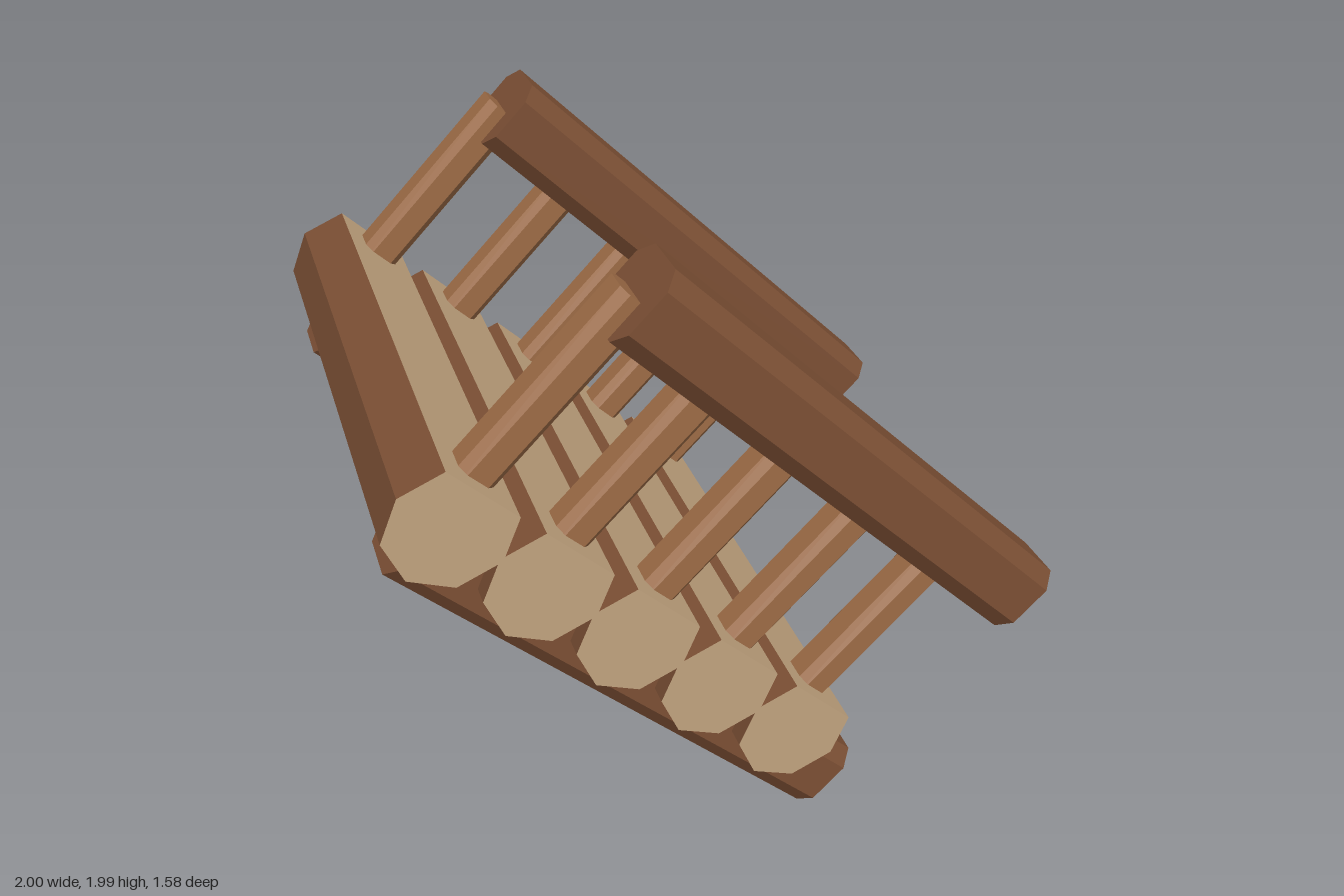
import * as THREE from 'three';

const mat = (color) => new THREE.MeshStandardMaterial({ color, flatShading: true });

// Timber with chamfered long edges, running along z, centred on the origin
function timberGeometry(w, h, length, cx, cy) {
  const a = w / 2, b = h / 2;
  const shape = new THREE.Shape([
    [a, -b + cy], [a, b - cy], [a - cx, b], [-a + cx, b],
    [-a, b - cy], [-a, -b + cy], [-a + cx, -b], [a - cx, -b],
  ].map(([x, y]) => new THREE.Vector2(x, y)));
  return new THREE.ExtrudeGeometry(shape, { depth: length, bevelEnabled: false })
    .translate(0, 0, -length / 2);
}

// Octagonal log with its upper corner sawn off to make a flat tread
function logGeometry(radius, length) {
  const points = [];
  for (let i = 0; i < 8; i++) {
    if (i === 2) continue;
    const t = i * Math.PI / 4;
    points.push(new THREE.Vector2(radius * Math.cos(t), radius * Math.sin(t)));
  }
  const geo = new THREE.ExtrudeGeometry(new THREE.Shape(points), { depth: length, bevelEnabled: false })
    .translate(0, 0, -length / 2);
  // Cut faces (tread and ends) take material 0, bark faces material 1
  const n = geo.attributes.normal;
  geo.clearGroups();
  for (let i = 0; i < n.count; i += 3) {
    const cut = n.getY(i) > 0.95 || Math.abs(n.getZ(i)) > 0.95;
    geo.addGroup(i, 3, cut ? 0 : 1);
  }
  return geo;
}

export function createModel() {
  const model = new THREE.Group();
  model.name = 'logStairs';

  const bark = mat(0x7b4f34);
  const pole = mat(0x9c6b45);
  const cutWood = mat(0xc0a27e);

  // Built level along x, then tipped down to the right by 45 degrees
  const flight = new THREE.Group();
  flight.name = 'flight';
  flight.rotation.z = -Math.PI / 4;
  model.add(flight);

  const add = (name, geo, material, x, y, z) => {
    const mesh = new THREE.Mesh(geo, material);
    mesh.name = name;
    mesh.position.set(x, y, z);
    flight.add(mesh);
  };

  const steps = 5, pitch = 0.344, start = -1.562;
  const length = steps * pitch, middle = start + length / 2;
  const logY = 0.404, railY = 1.137;

  const beam = timberGeometry(0.24, 0.24, length, 0.045, 0.05).rotateY(Math.PI / 2);
  const baluster = timberGeometry(0.12, 0.12, railY - logY, 0.025, 0.025).rotateX(Math.PI / 2);
  const log = logGeometry(0.178, 1.576);

  // Log treads
  for (let i = 0; i < steps; i++) {
    add('tread', log, [cutWood, bark], start + i * pitch, logY, 0);
  }

  // Support beams, handrails and balusters on both sides
  for (const side of [1, -1]) {
    add('supportBeam', beam, bark, middle, 0.284, side * 0.608);
    add('handrail', beam, bark, middle, railY, side * 0.667);
    for (let i = 0; i < steps; i++) {
      add('baluster', baluster, pole, start + i * pitch, (railY + logY) / 2, side * 0.667);
    }
  }
  return model;
}
